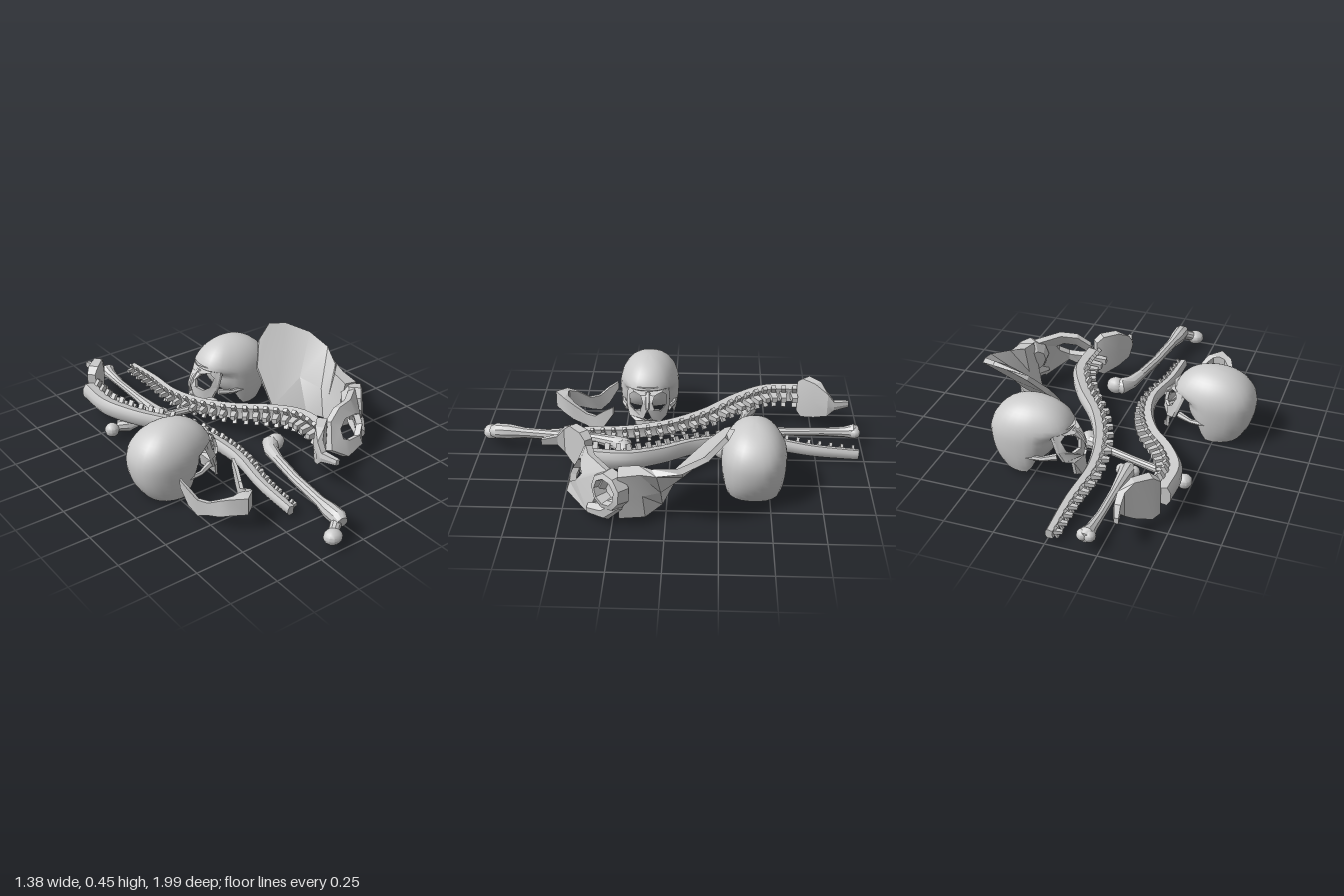
import * as THREE from 'three';
import { toCreasedNormals, mergeGeometries } from 'three/addons/utils/BufferGeometryUtils.js';

const V = (x, y, z) => new THREE.Vector3(x, y, z);
const UP = V(0, 1, 0);
const { lerp, smoothstep } = THREE.MathUtils;
const bone = new THREE.MeshStandardMaterial({ color: 0xcccccc, side: THREE.DoubleSide });

function add(parent, name, geometry, crease = 0.6) {
  const mesh = new THREE.Mesh(toCreasedNormals(geometry, crease), bone);
  mesh.name = name;
  parent.add(mesh);
  return mesh;
}

// Skin a row of equally sized point rings; capped at the ends unless closed
function loft(rings, closed = false) {
  const n = rings[0].length, m = rings.length, index = [];
  for (let i = 0; i < (closed ? m : m - 1); i++) {
    for (let j = 0; j < n; j++) {
      const a = i * n + j, b = i * n + (j + 1) % n;
      const c = ((i + 1) % m) * n + j, d = ((i + 1) % m) * n + (j + 1) % n;
      index.push(a, b, c, b, d, c);
    }
  }
  if (!closed) {
    const e = (m - 1) * n;
    for (let j = 1; j < n - 1; j++) index.push(0, j + 1, j, e, e + j, e + j + 1);
  }
  const g = new THREE.BufferGeometry();
  g.setAttribute('position', new THREE.Float32BufferAttribute(rings.flat().flatMap(p => p.toArray()), 3));
  g.setIndex(index);
  g.computeVertexNormals();
  return g;
}

// Round limb through stations [x, y, z, radius]
function limb(stations, sides = 10) {
  const pts = stations.map(s => V(s[0], s[1], s[2]));
  return loft(pts.map((p, i) => {
    const t = pts[Math.min(i + 1, pts.length - 1)].clone().sub(pts[Math.max(i - 1, 0)]).normalize();
    const s = t.clone().cross(UP).normalize(), u = s.clone().cross(t);
    return Array.from({ length: sides }, (_, k) => {
      const a = k / sides * Math.PI * 2, r = stations[i][3];
      return p.clone().addScaledVector(s, Math.cos(a) * r).addScaledVector(u, Math.sin(a) * r);
    });
  }));
}

function ball(x, y, z, r, sx = 1, sy = 1, sz = 1) {
  return new THREE.SphereGeometry(r, 12, 8).scale(sx, sy, sz).translate(x, y, z);
}

// Skull facing +x: open-bottomed cranium, bent face plate with openings, cheek arches
function skull() {
  const g = new THREE.Group();
  const dome = new THREE.SphereGeometry(1, 28, 20, 0, Math.PI * 2, 0, Math.PI * 0.75);
  const p = dome.attributes.position;
  for (let i = 0; i < p.count; i++) {
    const y = p.getY(i), r = Math.max(Math.hypot(p.getX(i), p.getZ(i)), 1e-6);
    const c = p.getX(i) / r, s = p.getZ(i) / r;
    const square = r / (Math.abs(c) ** 2.5 + Math.abs(s) ** 2.5 + 1e-9) ** 0.4;
    const front = smoothstep(c, -0.1, 0.6);
    const recess = 1 - 0.4 * front * smoothstep(-y, -0.3, 0);
    const x = square * c * (c > 0 ? 0.205 * recess : 0.22) - 0.02;
    const fullSides = y < 0 ? 1 / Math.sqrt(r) : 1;
    p.setXYZ(i, x, 0.2 + y * (y > 0 ? 0.177 : lerp(0.255, 0.14, front)),
      square * s * 0.16 * fullSides * (1 - 0.1 * front));
  }
  add(g, 'cranium', dome, 0.9);

  const half = [[0.05, 0.265], [0.09, 0.255], [0.11, 0.24], [0.116, 0.16], [0.1, 0.1],
    [0.07, 0.085], [0.062, 0.015], [0.035, 0.005]];
  const outline = [[0, 0.265], ...half, [0, 0.003], ...half.slice().reverse().map(([a, b]) => [-a, b])];
  const shape = new THREE.Shape(outline.map(([a, b]) => new THREE.Vector2(a, b)));
  for (const s of [-1, 1]) {
    const eye = [[0.025, 0.2], [0.038, 0.23], [0.075, 0.237], [0.098, 0.215], [0.095, 0.165], [0.07, 0.145], [0.038, 0.16]];
    shape.holes.push(new THREE.Path(eye.map(([a, b]) => new THREE.Vector2(a * s, b))));
  }
  shape.holes.push(new THREE.Path([[0, 0.165], [0.022, 0.11], [0, 0.1], [-0.022, 0.11]].map(q => new THREE.Vector2(...q))));
  const face = new THREE.ExtrudeGeometry(shape, { depth: 0.016, bevelEnabled: false });
  const f = face.attributes.position;
  for (let i = 0; i < f.count; i++) {
    const a = f.getX(i), y = f.getY(i), d = f.getZ(i);
    const brow = 0.05 * smoothstep(y, 0.17, 0.27);
    f.setXYZ(i, 0.222 + d - 7 * a * a - brow, y, -a);
  }
  face.computeVertexNormals();
  add(g, 'face', face);
  for (const s of [-1, 1]) {
    add(g, 'cheekArch', limb([[0.13, 0.13, 0.108 * s, 0.018], [0.06, 0.12, 0.135 * s, 0.012], [-0.02, 0.12, 0.14 * s, 0.014]], 6));
  }
  add(g, 'noseBridge', limb([[0.175, 0.235, 0, 0.014], [0.215, 0.2, 0, 0.016], [0.235, 0.165, 0, 0.009]], 6));
  return g;
}

// Spine lying on its side, from the sacrum to the neck
function spine() {
  const g = new THREE.Group();
  const path = new THREE.CatmullRomCurve3([
    V(-0.455, 0.16, -0.69), V(-0.455, 0.155, -0.5), V(-0.375, 0.14, -0.34), V(-0.25, 0.12, -0.18),
    V(-0.165, 0.1, 0), V(-0.13, 0.08, 0.2), V(-0.155, 0.055, 0.44), V(-0.158, 0.037, 0.67)]);
  const frame = t => {
    const d = path.getPointAt(t), along = path.getTangentAt(t);
    const side = V(along.z, 0, -along.x).normalize();
    return { d, along, side, up: along.clone().cross(side).normalize() };
  };
  const rings = [];
  for (let i = 0; i <= 48; i++) {
    const t = i / 48, { d, side, up } = frame(t), k = 1 - 0.45 * t;
    rings.push([[-0.036, -0.02], [-0.018, -0.048], [0.032, -0.038], [0.024, 0], [0.032, 0.038], [-0.018, 0.048], [-0.036, 0.02]]
      .map(([a, b]) => d.clone().addScaledVector(side, a * k).addScaledVector(up, b * k)));
  }
  add(g, 'spineBody', loft(rings));

  const parts = [];
  for (let i = 0; i < 25; i++) {
    const t = (i + 0.5) / 25, { d, along, side, up } = frame(t), k = 1 - 0.45 * t;
    const m = new THREE.Matrix4().makeBasis(side, up, along).setPosition(d);
    const spinous = new THREE.CylinderGeometry(0.02 * k, 0.03 * k, 0.075 * k, 4).rotateY(Math.PI / 4)
      .rotateZ(-Math.PI / 2).rotateY(0.1).translate(0.058 * k, 0, 0);
    parts.push(spinous.applyMatrix4(m));
    for (const s of [-1, 1]) {
      const wing = new THREE.BoxGeometry(0.022 * k, 0.045 * k, 0.026 * k).rotateZ(-0.6 * s)
        .translate(0.042 * k, 0.043 * k * s, 0);
      parts.push(wing.applyMatrix4(m));
    }
  }
  add(g, 'vertebraProcesses', mergeGeometries(parts));

  // Sacrum plate narrowing into the tailbone: [x, z, low, high, half thickness]
  const plate = [[-0.435, -0.69, 0.07, 0.25, 0.022], [-0.405, -0.715, 0.05, 0.28, 0.026], [-0.34, -0.775, 0.08, 0.28, 0.022],
    [-0.302, -0.825, 0.11, 0.24, 0.017], [-0.297, -0.86, 0.145, 0.195, 0.015], [-0.32, -0.94, 0.155, 0.185, 0.01]];
  add(g, 'sacrum', loft(plate.map(([x, z, lo, hi, t], i) => {
    const nx = i < 3 ? 0.65 : 1, nz = i < 3 ? 0.75 : 0;
    return [V(x - nx * t, lo, z - nz * t), V(x + nx * t, lo, z + nz * t), V(x + nx * t * 1.4, (lo + hi) / 2, z + nz * t * 1.4),
      V(x + nx * t, hi, z + nz * t), V(x - nx * t, hi, z - nz * t)];
  })), 0.4);
  return g;
}

// Hip bone: flared blade, socket and ring-shaped front
function hipBone() {
  const g = new THREE.Group();
  const rows = [ // left edge, right edge, half thickness, lift of the middle
    [V(0.37, 0.38, -0.28), V(0.55, 0.43, -0.28), 0.012, 0.035], [V(0.30, 0.27, -0.2), V(0.65, 0.38, -0.19), 0.014, -0.01],
    [V(0.29, 0.1, -0.05), V(0.68, 0.33, -0.07), 0.016, -0.02], [V(0.47, 0.04, 0.03), V(0.64, 0.295, 0.05), 0.024, -0.01],
    [V(0.55, 0.025, 0.1), V(0.60, 0.285, 0.12), 0.035, 0], [V(0.555, 0.02, 0.22), V(0.595, 0.27, 0.22), 0.04, 0]];
  const mid = rows.map(([l, r]) => l.clone().lerp(r, 0.5));
  add(g, 'hipBlade', loft(rows.map(([l, r, t, lift], i) => {
    const along = mid[Math.min(i + 1, 5)].clone().sub(mid[Math.max(i - 1, 0)]);
    const n = along.cross(r.clone().sub(l)).normalize().multiplyScalar(t);
    const c = mid[i].clone().add(i ? n.clone().multiplyScalar(lift / t) : V(0, lift, -0.03));
    return [l.clone().add(n), c.clone().add(n), r.clone().add(n), r.clone().sub(n), c.clone().sub(n), l.clone().sub(n)];
  })), 0.4);

  const outer = [[0.58, 0.265, 0.27], [0.46, 0.285, 0.37], [0.37, 0.28, 0.39], [0.3, 0.23, 0.41],
    [0.27, 0.1, 0.46], [0.36, 0.045, 0.49], [0.46, 0.08, 0.48], [0.56, 0.02, 0.37]];
  const inner = [[0.5, 0.2, 0.4], [0.46, 0.22, 0.41], [0.39, 0.22, 0.415], [0.345, 0.185, 0.435],
    [0.345, 0.14, 0.46], [0.38, 0.125, 0.47], [0.45, 0.125, 0.465], [0.495, 0.16, 0.43]];
  const back = V(-0.014, -0.011, -0.03);
  add(g, 'hipRing', loft(outer.map((q, i) => {
    const o = V(...q), n = V(...inner[i]);
    return [o, n, n.clone().add(back), o.clone().add(back)];
  }), true), 0.4);

  const profile = [[0.001, -0.045], [0.05, -0.03], [0.066, 0.03], [0.092, 0.022], [0.1, -0.04], [0.06, -0.08], [0.001, -0.085]];
  const socket = add(g, 'hipSocket', new THREE.LatheGeometry(profile.map(q => new THREE.Vector2(...q)), 9), 0.4);
  socket.quaternion.setFromUnitVectors(UP, V(0.75, 0.08, 0.65).normalize());
  socket.position.set(0.605, 0.175, 0.265);
  add(g, 'seatBone', limb([[0.61, 0.11, 0.22, 0.035], [0.595, 0.06, 0.28, 0.045], [0.55, 0.045, 0.36, 0.03]], 7), 0.4);
  return g;
}

// Lower jaw: mirrored sections [offset, z, low, high, half thickness]
function jaw() {
  const half = [[0.152, 0.31, 0.13, 0.17, 0.007], [0.14, 0.36, 0.05, 0.14, 0.009], [0.122, 0.41, 0.01, 0.1, 0.009],
    [0.095, 0.46, 0.03, 0.1, 0.01], [0.077, 0.53, 0.055, 0.145, 0.012], [0.048, 0.575, 0.08, 0.17, 0.02]];
  const section = (s, [a, z, lo, hi, t]) => {
    const x = -0.385 + a * s, dx = a ? 0.85 * t * s : 0, dz = a ? 0.4 * t : t;
    return [V(x - dx, lo, z - dz), V(x + dx, lo, z + dz), V(x + dx, hi, z + dz), V(x - dx, hi, z - dz)];
  };
  const chin = section(1, [0, 0.603, 0.09, 0.18, 0.034]);
  return loft([...half.map(h => section(-1, h)), chin, ...half.slice().reverse().map(h => section(1, h))]);
}

export function createModel() {
  const model = new THREE.Group();
  model.name = 'bonePile';
  const place = (name, part, x = 0, z = 0, turn = 0) => {
    part.name = name;
    part.position.set(x, 0, z);
    part.rotation.y = turn;
    model.add(part);
  };
  place('rightSkull', skull(), -0.45, 0.13);
  place('leftSkull', skull(), 0.255, -0.42, Math.PI);
  place('rightSpine', spine());
  place('leftSpine', spine(), -0.17, -0.3, Math.PI);
  place('hipBone', hipBone());
  add(model, 'jaw', jaw(), 0.5);

  // Front thigh bone
  const front = new THREE.Group();
  add(front, 'shaft', limb([[0.1, 0.1, 0.225, 0.03], [0.06, 0.1, 0.23, 0.045], [0.025, 0.1, 0.28, 0.036], [-0.005, 0.105, 0.38, 0.027],
    [-0.035, 0.1, 0.55, 0.026], [-0.06, 0.1, 0.76, 0.028], [-0.07, 0.1, 0.84, 0.04], [-0.075, 0.1, 0.91, 0.041], [-0.08, 0.095, 0.94, 0.028]]));
  add(front, 'neck', limb([[-0.075, 0.095, 0.9, 0.028], [-0.145, 0.06, 0.95, 0.026]]));
  add(front, 'head', ball(-0.147, 0.056, 0.955, 0.045, 1.05, 0.85, 0.95));
  add(front, 'kneeEnd', ball(0.09, 0.1, 0.23, 0.046, 1.1, 1, 0.95));
  place('frontThighBone', front);

  // Thigh bone crossing under both spines
  const crossing = new THREE.Group();
  add(crossing, 'shaft', limb([[-0.44, 0.06, -0.43, 0.03], [-0.39, 0.065, -0.4, 0.036], [-0.33, 0.07, -0.385, 0.021],
    [-0.2, 0.075, -0.355, 0.02], [-0.06, 0.08, -0.32, 0.022], [0.01, 0.085, -0.295, 0.036], [0.06, 0.085, -0.28, 0.042]]));
  add(crossing, 'head', ball(-0.48, 0.058, -0.418, 0.038));
  add(crossing, 'kneeEnd', ball(0.055, 0.085, -0.275, 0.05, 0.9, 0.9, 1.05));
  place('crossingThighBone', crossing);

  // Straight shin bone at the back
  const shin = new THREE.Group();
  add(shin, 'shaft', limb([[-0.185, 0.075, -0.985, 0.025], [-0.187, 0.075, -0.96, 0.04], [-0.19, 0.07, -0.91, 0.028], [-0.195, 0.065, -0.8, 0.022],
    [-0.195, 0.06, -0.62, 0.023], [-0.195, 0.055, -0.48, 0.036], [-0.195, 0.05, -0.42, 0.046], [-0.195, 0.05, -0.39, 0.034]]));
  for (const s of [-1, 1]) {
    add(shin, 'upperKnob', ball(-0.187 + 0.017 * s, 0.075, -0.965, 0.029));
    add(shin, 'lowerKnob', ball(-0.195 + 0.03 * s, 0.05, -0.415, 0.031));
  }
  place('shinBone', shin);
  return model;
}
